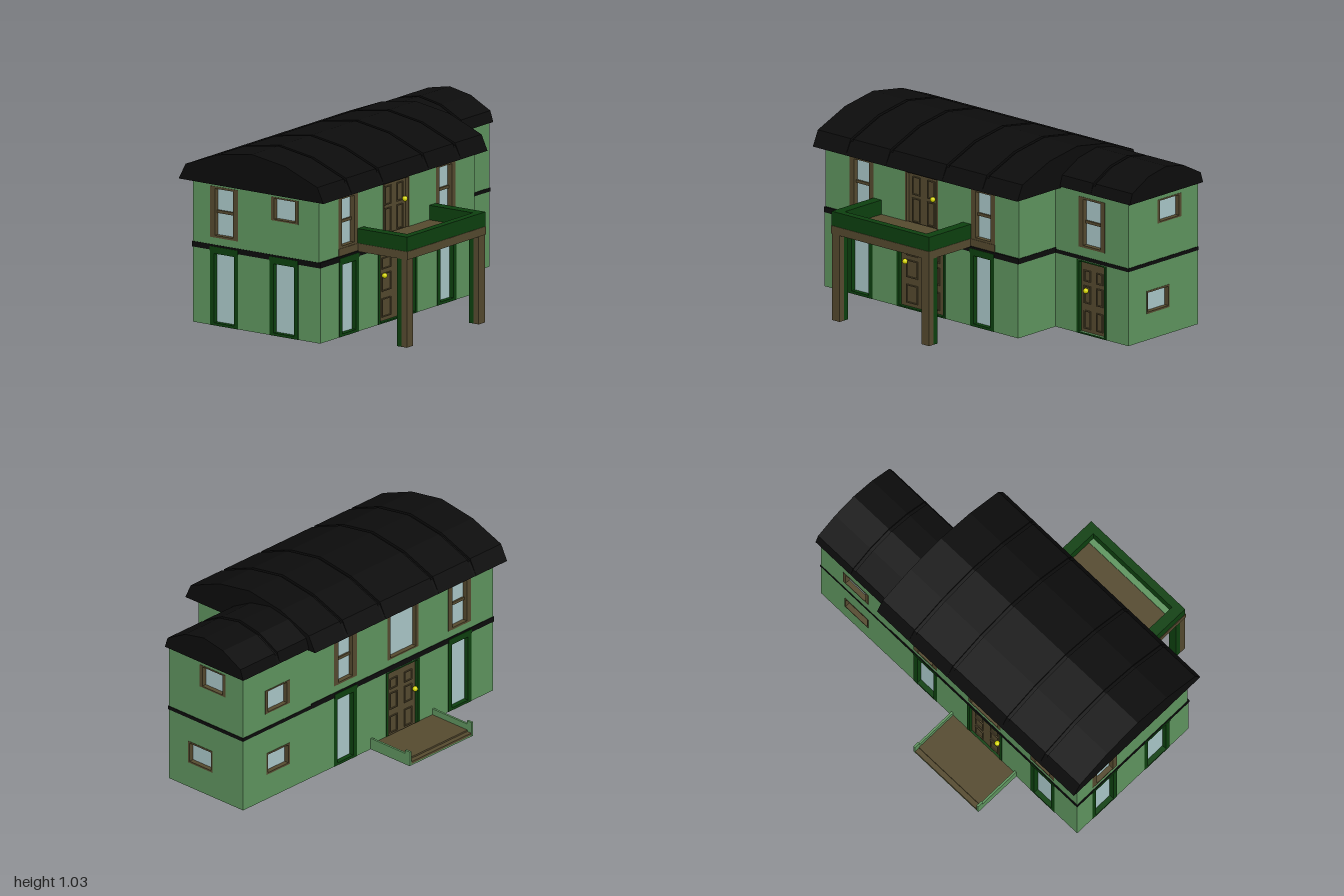
import * as THREE from 'three';

const mat = (color) => new THREE.MeshStandardMaterial({ color, side: THREE.DoubleSide });
const GREEN = mat(0x5f955f), DARK = mat(0x0d400f), BROWN = mat(0x554a2f);
const BLACK = mat(0x0c0c0c), GLASS = mat(0xaac8c9), KNOB = mat(0xd6d600);
const T = 0.04; // wall thickness

function add(parent, name, geometry, material) {
  const mesh = new THREE.Mesh(geometry, material);
  mesh.name = name;
  parent.add(mesh);
  return mesh;
}

// Box given by its limits on each axis
function box(parent, name, material, x0, x1, y0, y1, z0, z1) {
  const mesh = add(parent, name, new THREE.BoxGeometry(x1 - x0, y1 - y0, z1 - z0), material);
  mesh.position.set((x0 + x1) / 2, (y0 + y1) / 2, (z0 + z1) / 2);
  return mesh;
}

// Flat rectangle with rectangular holes, extruded towards +z from z0 to z1
function plate(parent, name, material, [u0, u1, y0, y1], holes, z0, z1) {
  const rect = (a, b, c, d) => [[a, c], [b, c], [b, d], [a, d]].map((p) => new THREE.Vector2(...p));
  const shape = new THREE.Shape(rect(u0, u1, y0, y1));
  for (const h of holes) shape.holes.push(new THREE.Path(rect(...h)));
  const geometry = new THREE.ExtrudeGeometry(shape, { depth: z1 - z0, bevelEnabled: false });
  geometry.translate(0, 0, z0);
  return add(parent, name, geometry, material);
}

// Frame style per opening: material, side width, top and bottom width
const STYLES = {
  sash: [BROWN, 0.032, 0.012],
  tall: [DARK, 0.027, 0.015],
  small: [BROWN, 0.01, 0.01],
  wide: [BROWN, 0.02, 0.008],
  door: [DARK, 0.017, 0.008],
  balconyDoor: [BROWN, 0.012, 0.008],
};

function opening(parent, d, { r, kind, knob }) {
  const g = new THREE.Group();
  g.name = kind + (kind.toLowerCase().includes('door') ? '' : 'Window');
  parent.add(g);
  const [material, side, end] = STYLES[kind];
  const [u0, u1, y0, y1] = r;
  const [a, b, c, e] = [u0 + side, u1 - side, y0 + end, y1 - end];
  plate(g, 'frame', material, r, [[a, b, c, e]], d - T - 0.002, d + 0.002);
  if (!knob) {
    box(g, 'glass', GLASS, a, b, c, e, d - 0.034, d - 0.026);
    if (kind === 'sash') {
      const m = (c + e) / 2;
      box(g, 'crossBar', BROWN, a, b, m - 0.008, m + 0.008, d - 0.038, d - 0.016);
    }
    if (kind === 'tall') box(g, 'header', DARK, u0, u1, y1, 0.48, d - T, d + 0.006);
    return;
  }
  // Door leaf with two columns of framed panels
  box(g, 'leaf', BROWN, a, b, c, e, d - 0.034, d - 0.018);
  const w = b - a, h = e - c;
  const rows = kind === 'door' ? [[0.05, 0.31], [0.41, 0.66], [0.72, 0.88]] : [[0.1, 0.54], [0.6, 0.94]];
  for (const [s, t] of [[0.12, 0.38], [0.62, 0.88]]) {
    for (const [p, q] of rows) {
      const panel = [a + w * s, a + w * t, c + h * p, c + h * q];
      plate(g, 'panelMoulding', BROWN, panel,
        [[panel[0] + 0.006, panel[1] - 0.006, panel[2] + 0.006, panel[3] - 0.006]], d - 0.02, d - 0.012);
    }
  }
  const ball = add(g, 'knob', new THREE.SphereGeometry(0.015, 16, 12), KNOB);
  ball.position.set(knob[0], knob[1], d);
}

// Wall facing its local +z at distance d, turned about y
function wall(parent, name, turn, d, r, openings = []) {
  const g = new THREE.Group();
  g.name = name;
  g.rotation.y = turn;
  parent.add(g);
  // holes stay a hair inside the wall outline
  const holes = openings.map(({ r: [a, b, c, e] }) => [a, b, Math.max(c, r[2] + 0.002), Math.min(e, r[3] - 0.002)]);
  plate(g, 'wallPanel', GREEN, r, holes, d - T, d);
  openings.forEach((o) => opening(g, d, o));
}

// Solid arched roof with narrow grooves at the given x positions
function roof(parent, name, profile, x0, x1, grooves) {
  const g = new THREE.Group();
  g.name = name;
  parent.add(g);
  const run = (part, a, b, drop) => {
    const shape = new THREE.Shape(profile.map(([z, y], i) =>
      new THREE.Vector2(-z, i === 0 || i === profile.length - 1 ? y : y - drop)));
    const geometry = new THREE.ExtrudeGeometry(shape, { depth: b - a, bevelEnabled: false });
    geometry.rotateY(Math.PI / 2).translate(a, 0, 0);
    add(g, part, geometry, BLACK);
  };
  const cuts = [x0, ...grooves, x1];
  for (let i = 0; i + 1 < cuts.length; i++) {
    run('roofSection', cuts[i] + (i ? 0.01 : 0), cuts[i + 1] - (i + 2 < cuts.length ? 0.01 : 0), 0);
  }
  for (const x of grooves) run('roofGroove', x - 0.01, x + 0.01, 0.014);
}

export function createModel() {
  const house = new THREE.Group();
  house.name = 'house';
  const Y0 = 0.045, YM = 0.47, YT = 0.84;
  const H = Math.PI / 2;
  const low = [0.045, 0.456], high = [0.53, 0.812];
  const o = (kind, a, b, [c, e], knob) => ({ kind, r: [a, b, c, e], knob });

  // Main block, ground floor (open underneath)
  wall(house, 'mainFrontLower', 0, 0.405, [-0.96, 0.45, Y0, YM], [
    o('tall', -0.79, -0.61, low), o('tall', 0.1, 0.275, low),
    o('door', -0.435, -0.08, low, [-0.375, 0.305])]);
  wall(house, 'mainLeftLower', -H, 0.96, [-0.44, 0.405, Y0, YM], [
    o('tall', -0.325, -0.14, low), o('tall', 0.07, 0.26, low)]);
  wall(house, 'mainBackLower', Math.PI, 0.44, [-0.45, 0.96, Y0, YM], [
    o('tall', -0.275, -0.1, low), o('tall', 0.61, 0.79, low),
    o('door', 0.13, 0.39, low, [0.355, 0.28])]);
  wall(house, 'mainRightLower', H, 0.45, [-0.405, 0.44, Y0, YM]);

  // Main block, upper floor
  wall(house, 'mainFrontUpper', 0, 0.397, [-0.96, 0.45, YM, YT], [
    o('sash', -0.785, -0.61, high), o('sash', 0.1, 0.275, high),
    o('balconyDoor', -0.38, -0.14, [0.492, 0.812], [-0.18, 0.69])]);
  wall(house, 'mainLeftUpper', -H, 0.96, [-0.44, 0.397, YM, YT], [
    o('sash', -0.325, -0.14, high), o('wide', 0.08, 0.26, [0.68, 0.81])]);
  wall(house, 'mainBackUpper', Math.PI, 0.44, [-0.45, 0.96, YM, YT], [
    o('sash', -0.275, -0.1, high), o('sash', 0.61, 0.785, high), o('wide', 0.14, 0.38, high)]);
  wall(house, 'mainRightUpper', H, 0.45, [-0.397, 0.44, YM, YT]);

  // Side wing, both floors
  wall(house, 'wingFront', 0, 0.11, [0.45, 0.98, Y0, YT], [
    o('door', 0.605, 0.82, low, [0.67, 0.29]), o('sash', 0.62, 0.81, high)]);
  wall(house, 'wingRight', H, 0.98, [-0.11, 0.44, Y0, YT], [
    o('small', 0.035, 0.215, [0.192, 0.32]), o('wide', 0.12, 0.31, [0.68, 0.812])]);
  wall(house, 'wingBack', Math.PI, 0.44, [-0.98, -0.45, Y0, YT], [
    o('small', -0.8, -0.62, [0.192, 0.32]), o('wide', -0.81, -0.62, [0.56, 0.7])]);
  box(house, 'wingFloor', GREEN, 0.45, 0.978, 0.046, 0.054, -0.438, 0.108);

  // Bands between the floors and the ground floor ceiling
  box(house, 'mainBand', BLACK, -0.963, 0.453, 0.46, 0.49, -0.443, 0.408);
  box(house, 'wingBand', BLACK, 0.4, 0.983, 0.46, 0.48, -0.442, 0.113);
  box(house, 'ceiling', BROWN, -0.92, 0.41, 0.452, 0.46, -0.4, 0.365);
  for (const x of [-0.785, 0.1]) box(house, 'windowSill', BROWN, x, x + 0.175, 0.49, 0.53, 0.38, 0.402);

  // Roofs
  roof(house, 'mainRoof', [[0.455, 0.83], [0.415, 0.915], [0.2, 1.0], [-0.02, 1.035],
    [-0.25, 1.0], [-0.46, 0.92], [-0.505, 0.833]], -1, 0.49, [-0.75, -0.46, -0.05, 0.24]);
  roof(house, 'wingRoof', [[0.12, 0.84], [0.1, 0.9], [-0.03, 0.968], [-0.17, 0.995],
    [-0.31, 0.968], [-0.44, 0.9], [-0.46, 0.84]], 0.42, 1, [0.725]);

  // Balcony with railing and two posts
  const balcony = new THREE.Group();
  balcony.name = 'balcony';
  house.add(balcony);
  box(balcony, 'balconyFloor', BROWN, -0.615, 0.1, 0.485, 0.53, 0.39, 0.73);
  box(balcony, 'frontRail', DARK, -0.612, 0.098, 0.53, 0.61, 0.685, 0.727);
  box(balcony, 'floorEdge', GREEN, -0.55, 0.04, 0.53, 0.537, 0.652, 0.685);
  for (const x of [-0.612, 0.04]) {
    box(balcony, 'sideRail', DARK, x, x + 0.058, 0.53, 0.61, 0.395, 0.685);
    box(balcony, 'postFront', BROWN, x, x + 0.056, 0, 0.485, 0.69, 0.725);
    box(balcony, 'postBack', DARK, x, x + 0.056, 0, 0.485, 0.66, 0.69);
  }

  // Back porch
  const porch = new THREE.Group();
  porch.name = 'backPorch';
  house.add(porch);
  box(porch, 'porchBase', GREEN, -0.5, -0.01, 0.045, 0.053, -0.728, -0.44);
  box(porch, 'porchFloor', BROWN, -0.488, -0.022, 0.053, 0.075, -0.7, -0.44);
  box(porch, 'porchStep', BROWN, -0.488, -0.022, 0.053, 0.066, -0.728, -0.7);
  for (const x of [-0.5, -0.022]) {
    box(porch, 'porchCurb', GREEN, x, x + 0.012, 0.053, 0.11, -0.695, -0.44);
    box(porch, 'porchCurbEnd', GREEN, x, x + 0.012, 0.053, 0.13, -0.73, -0.695);
  }
  return house;
}
